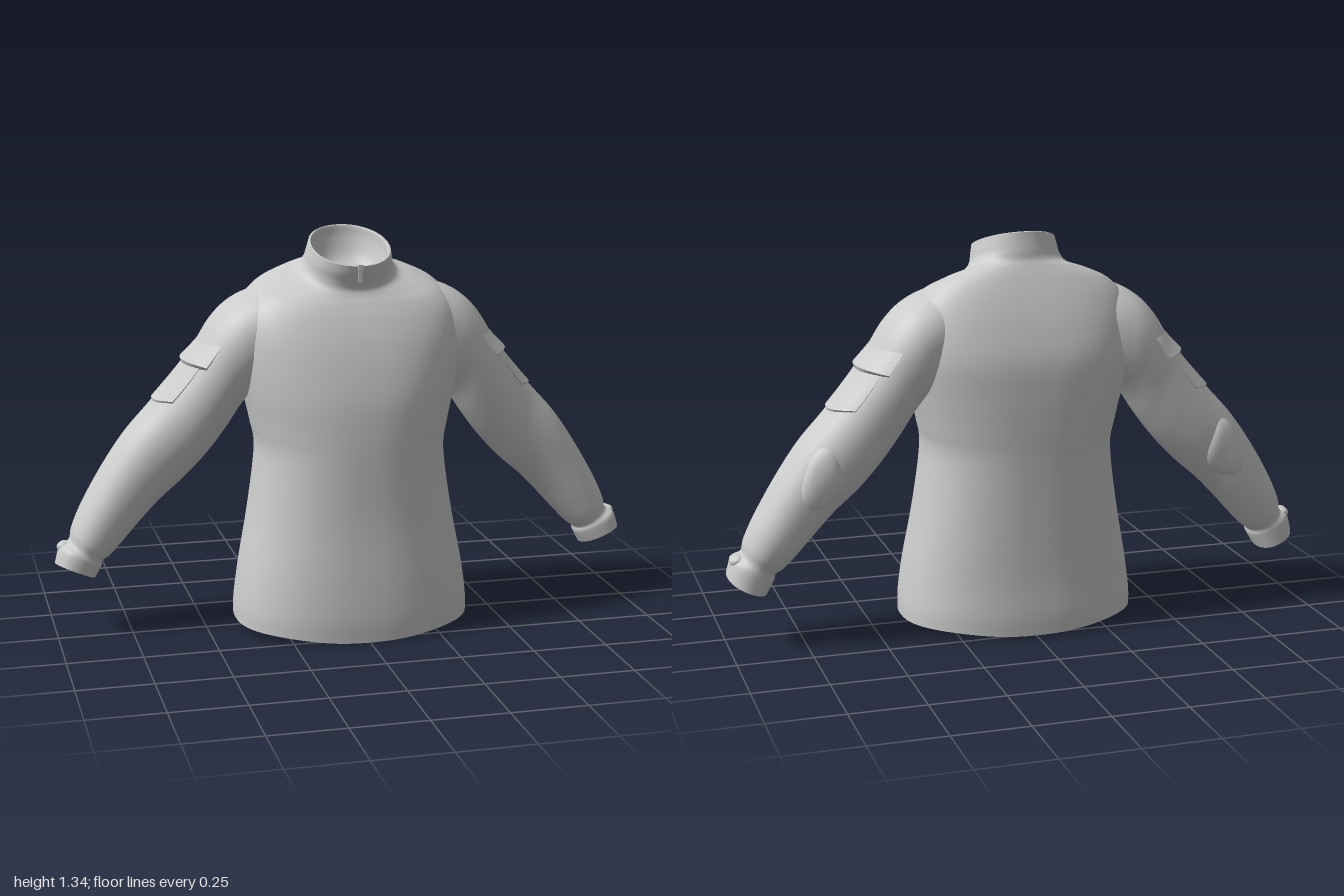
import * as THREE from 'three';
import { toCreasedNormals } from 'three/addons/utils/BufferGeometryUtils.js';

const material = new THREE.MeshStandardMaterial({ color: 0xcccccc, side: THREE.DoubleSide });

// Grid surface from fn(u, v) -> [x, y, z]; 'wrap' closes it around u, 'flip' reverses the winding
function surface(nu, nv, fn, { wrap = false, flip = false, crease = 0 } = {}) {
  const pos = [], idx = [], cols = wrap ? nu : nu + 1;
  for (let j = 0; j <= nv; j++)
    for (let i = 0; i < cols; i++) pos.push(...fn(i / nu, j / nv));
  for (let j = 0; j < nv; j++)
    for (let i = 0; i < nu; i++) {
      const a = j * cols + i, b = j * cols + ((i + 1) % cols);
      const c = b + cols, d = a + cols;
      if (flip) idx.push(a, d, b, b, d, c);
      else idx.push(a, b, d, b, c, d);
    }
  const g = new THREE.BufferGeometry();
  g.setAttribute('position', new THREE.Float32BufferAttribute(pos, 3));
  g.setIndex(idx);
  g.computeVertexNormals();
  return crease ? toCreasedNormals(g, crease) : g;
}

function add(parent, name, geometry) {
  const mesh = new THREE.Mesh(geometry, material);
  mesh.name = name;
  parent.add(mesh);
  return mesh;
}

const spline = (pts) => new THREE.CatmullRomCurve3(pts, false, 'catmullrom', 0.5);
const power = (x, e) => Math.sign(x) * Math.abs(x) ** e;

// Body rings: front height, back height, half width, front z, back z,
// roundness of the front half, roundness of the back half (1 = ellipse, less = boxier)
const BODY = [
  [0.0, 0.01, 0.40, 0.293, -0.292, 0.84, 0.84],
  [0.08, 0.08, 0.398, 0.295, -0.293, 0.84, 0.84],
  [0.2, 0.2, 0.383, 0.288, -0.287, 0.84, 0.84],
  [0.4, 0.4, 0.345, 0.272, -0.285, 0.84, 0.82],
  [0.6, 0.6, 0.318, 0.265, -0.285, 0.84, 0.8],
  [0.7, 0.7, 0.332, 0.26, -0.287, 0.84, 0.77],
  [0.8, 0.81, 0.355, 0.25, -0.288, 0.82, 0.74],
  [0.9, 0.93, 0.375, 0.228, -0.283, 0.8, 0.7],
  [0.99, 1.035, 0.38, 0.2, -0.256, 0.78, 0.68],
  [1.06, 1.125, 0.36, 0.17, -0.222, 0.77, 0.68],
  [1.107, 1.19, 0.31, 0.145, -0.192, 0.78, 0.72],
  [1.135, 1.228, 0.238, 0.128, -0.172, 0.84, 0.8],
  [1.155, 1.25, 0.175, 0.122, -0.161, 0.92, 0.9],
  [1.178, 1.278, 0.151, 0.13, -0.157, 0.96, 0.96],
  [1.21, 1.31, 0.142, 0.147, -0.151, 0.96, 0.96],
  [1.238, 1.337, 0.135, 0.157, -0.147, 0.96, 0.96],
];
// Collar lining rings, from the rim down to the shallow closed neck
const LINING = [
  [1.238, 1.337, 0.135, 0.157, -0.147, 0.96, 0.96],
  [1.236, 1.335, 0.126, 0.149, -0.139, 0.96, 0.96],
  [1.2, 1.295, 0.12, 0.128, -0.135, 0.96, 0.96],
  [1.165, 1.23, 0.1, 0.09, -0.115, 0.96, 0.96],
  [1.15, 1.185, 0.06, 0.04, -0.07, 0.96, 0.96],
  [1.16, 1.16, 0.0, -0.015, -0.015, 0.96, 0.96],
];

function ringSurface(rows) {
  const heights = spline(rows.map((r) => new THREE.Vector3(r[0], r[1], r[2])));
  const depths = spline(rows.map((r) => new THREE.Vector3(r[3], r[4], 0)));
  const rounding = spline(rows.map((r) => new THREE.Vector3(r[5], r[6], 0)));
  return (u, v) => {
    const h = heights.getPoint(v), d = depths.getPoint(v), e = rounding.getPoint(v);
    const a = u * Math.PI * 2, k = Math.cos(a) > 0 ? e.x : e.y;
    const s = power(Math.sin(a), k), c = power(Math.cos(a), k);
    // The hem rises slightly at the sides
    const lift = 0.022 * (1 - c ** 8) * Math.max(0, 1 - h.x / 0.15);
    return [
      h.z * s,
      (h.x + h.y) / 2 + ((h.x - h.y) / 2) * c + lift,
      (d.x + d.y) / 2 + ((d.x - d.y) / 2) * c,
    ];
  };
}

// Sleeve rings: upper x, upper y, lower x, lower y, front z, back z
const SLEEVE = [
  [0.12, 1.16, 0.15, 0.92, 0.08, -0.15],
  [0.27, 1.158, 0.25, 0.87, 0.105, -0.205],
  [0.375, 1.122, 0.32, 0.815, 0.105, -0.225],
  [0.45, 1.058, 0.37, 0.755, 0.095, -0.223],
  [0.51, 0.967, 0.42, 0.68, 0.084, -0.216],
  [0.572, 0.88, 0.485, 0.595, 0.07, -0.215],
  [0.655, 0.78, 0.56, 0.515, 0.052, -0.213],
  [0.75, 0.675, 0.64, 0.445, 0.042, -0.205],
  [0.83, 0.56, 0.705, 0.378, 0.035, -0.2],
  [0.9, 0.44, 0.765, 0.312, 0.03, -0.19],
  [0.937, 0.36, 0.81, 0.265, 0.024, -0.172],
  [0.948, 0.318, 0.838, 0.245, 0.014, -0.154],
  [0.98, 0.298, 0.843, 0.225, 0.02, -0.153],
  [0.997, 0.243, 0.866, 0.185, 0.02, -0.15],
];
const LAST = SLEEVE.length - 1;
const upper = spline(SLEEVE.map((r) => new THREE.Vector3(r[0], r[1], 0)));
const lower = spline(SLEEVE.map((r) => new THREE.Vector3(r[2], r[3], 0)));
const depth = spline(SLEEVE.map((r) => new THREE.Vector3(r[4], r[5], 0)));

// Point on a sleeve at ring number t and angle a (0 = outer top, positive = front)
function sleevePoint(side, t, a, offset = 0, scale = 1) {
  const k = t / LAST;
  const p = upper.getPoint(k), q = lower.getPoint(k), d = depth.getPoint(k);
  const c = power(Math.cos(a), 0.92) * scale, s = power(Math.sin(a), 0.92) * scale;
  const radial = new THREE.Vector3(
    ((p.x - q.x) / 2) * c,
    ((p.y - q.y) / 2) * c,
    ((d.x - d.y) / 2) * s,
  );
  const len = radial.length();
  if (len > 0) radial.multiplyScalar((len + offset) / len);
  const x = (p.x + q.x) / 2 + radial.x;
  const y = (p.y + q.y) / 2 + radial.y + 0.015 * s * k ** 10;
  return [side * x, y, (d.x + d.y) / 2 + radial.z];
}

// Raised cloth panel wrapped around the outer sleeve, thickening from 'low' to 'high'
function sleevePanel(side, t0, t1, a0, a1, low, high) {
  const n = 18, m = 10;
  const inner = (w, k) => Math.min(1, Math.max(0, (w * k - 1) / (k - 2)));
  return surface(n, m, (u, v) => {
    const a = a0 + (a1 - a0) * inner(u, n), w = inner(v, m);
    const edge = u === 0 || u === 1 || v === 0 || v === 1;
    const t = t0 + (t1 - t0) * w - 1.5 * (1 - Math.cos(a));
    return sleevePoint(side, t, a, edge ? -0.012 : low + (high - low) * w);
  }, { flip: side < 0, crease: 0.7 });
}

// Domed rounded-triangle patch on the sleeve
function sleevePad(side, t0, a0, dt, da, height, corner) {
  return surface(32, 8, (u, v) => {
    const f = u * Math.PI * 2, r = 1 - v;
    const R = r * (1 + corner * Math.cos(3 * f));
    return sleevePoint(side, t0 + dt * R * Math.cos(f), a0 + da * R * Math.sin(f),
      height * (1 - r ** 5) - 0.003);
  }, { wrap: true, flip: side > 0 });
}

export function createModel() {
  const model = new THREE.Group();
  model.name = 'shirt';

  // Body with stand collar, lining and closed hem
  const body = ringSurface(BODY);
  add(model, 'bodyAndCollar', surface(72, 90, body, { wrap: true }));
  add(model, 'collarLining', surface(48, 30, ringSurface(LINING), { wrap: true }));
  add(model, 'hemBottom', surface(72, 4, (u, v) => {
    const [x, y, z] = body(u, 0);
    return [x * (1 - v), y + (0.022 - y) * v, z * (1 - v)];
  }, { wrap: true, flip: true }));

  // Zip pull at the collar front
  const zip = add(model, 'zipPull', new THREE.BoxGeometry(0.012, 0.05, 0.008));
  zip.position.set(0, 1.21, 0.152);
  const slider = add(model, 'zipSlider', new THREE.BoxGeometry(0.018, 0.016, 0.012));
  slider.position.set(0, 1.235, 0.153);

  for (const side of [1, -1]) {
    const arm = new THREE.Group();
    arm.name = side > 0 ? 'leftSleeve' : 'rightSleeve';
    model.add(arm);
    const flip = side < 0;
    add(arm, 'sleeve', surface(40, 104,
      (u, v) => sleevePoint(side, v * LAST, u * Math.PI * 2), { wrap: true, flip }));
    add(arm, 'cuffOpening', surface(40, 3,
      (u, v) => sleevePoint(side, LAST, u * Math.PI * 2, 0, 1 - v), { wrap: true, flip }));
    add(arm, 'pocket', sleevePanel(side, 4.5, 6.0, -0.95, 0.8, 0.002, 0.008));
    add(arm, 'pocketFlap', sleevePanel(side, 3.9, 4.75, -1.15, 1.0, 0.001, 0.018));
    add(arm, 'elbowPad', sleevePad(side, 7.0, -1.5, 0.74, 0.7, 0.013, 0.1));
    add(arm, 'cuffTab', sleevePad(side, 11.7, -0.15, 0.6, 0.38, 0.012, 0));
  }
  return model;
}
